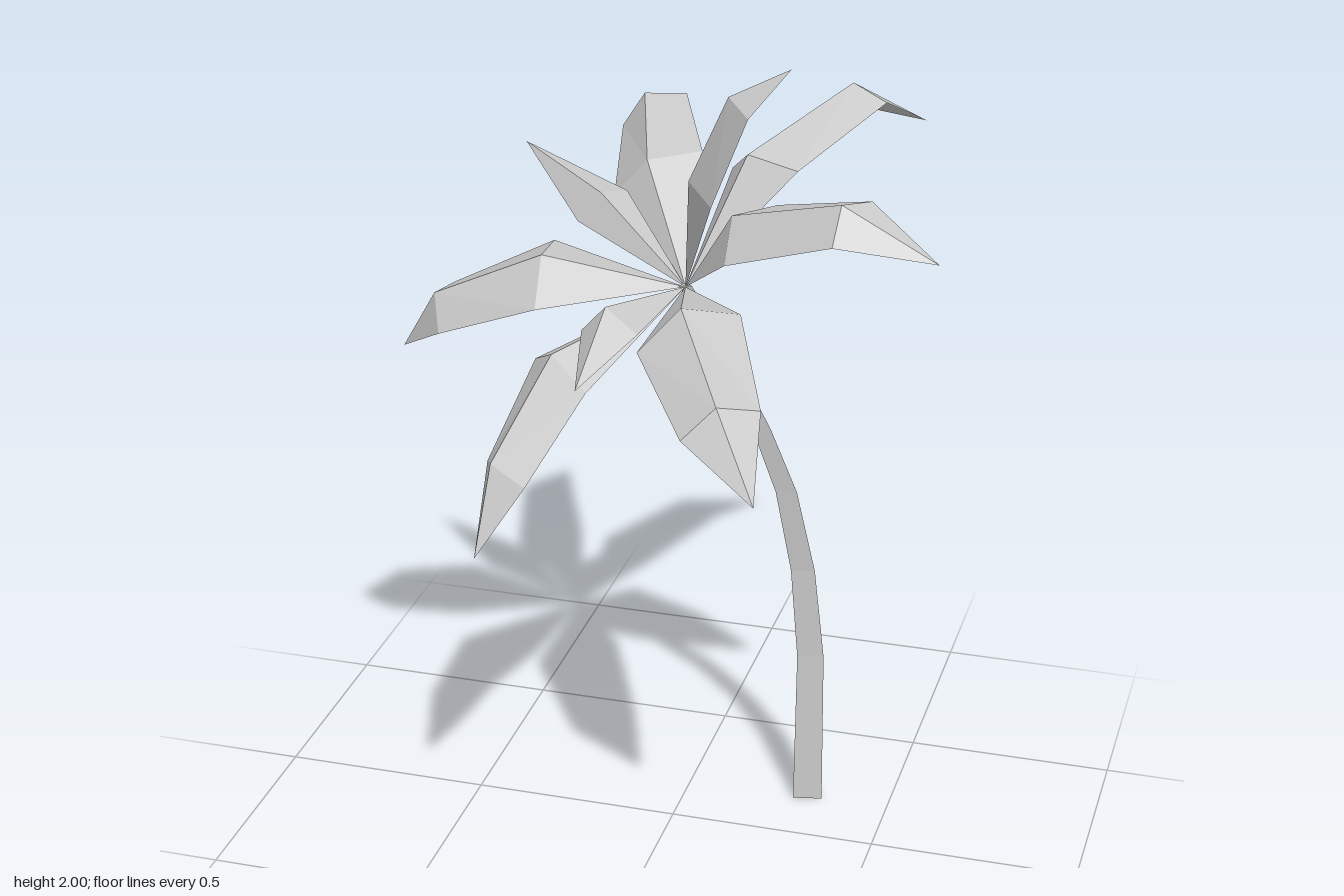
import * as THREE from 'three';

// Where the fronds meet the top of the trunk
const CROWN = new THREE.Vector3(0.035, 1.41, 0.02);
const FOLD = 0.06;   // height of the midrib above the edges
const TAPER = 0.75;  // outer section width relative to the inner one

// Bent path of the trunk from the ground up
const TRUNK_PATH = [
  [0.297, 0, -0.183], [0.297, 0.4, -0.183], [0.278, 0.64, -0.165], [0.242, 0.86, -0.13],
  [0.19, 1.03, -0.092], [0.125, 1.2, -0.05], [0.035, 1.415, 0.018],
];

// Three-sided trunk that narrows towards the crown
function trunkGeometry() {
  const n = TRUNK_PATH.length - 1;
  const geometry = new THREE.CylinderGeometry(1, 1, 1, 3, n, false, Math.PI + 0.21);
  const p = geometry.attributes.position;
  for (let i = 0; i < p.count; i++) {
    const row = Math.round((p.getY(i) + 0.5) * n);
    const [x, y, z] = TRUNK_PATH[row];
    const r = 0.041 - 0.004 * row;
    p.setXYZ(i, x + p.getX(i) * r, y, z + p.getZ(i) * r);
  }
  geometry.computeVertexNormals();
  return geometry;
}

// Thin folded blade: side is half its width, centres run outwards to the tip.
// The midrib is raised at right angles to the blade.
function frondGeometry(side, centres, tip) {
  const rows = [[CROWN, CROWN, CROWN]];
  let previous = CROWN;
  centres.forEach((point, i) => {
    const centre = new THREE.Vector3(...point);
    const half = new THREE.Vector3(...side).multiplyScalar(TAPER ** i);
    const rise = centre.clone().sub(previous).cross(half);
    rise.setLength(rise.y < 0 ? -FOLD : FOLD).multiplyScalar(0.85 ** i);
    rows.push([centre.clone().add(half), centre.clone().add(rise), centre.clone().sub(half)]);
    previous = centre;
  });
  const end = new THREE.Vector3(...tip);
  rows.push([end, end, end]);

  const points = [];
  const last = rows.length - 2;
  for (let i = 0; i <= last; i++) {
    for (let j = 0; j < 2; j++) {
      const [a, b] = [rows[i][j], rows[i][j + 1]];
      const [c, d] = [rows[i + 1][j], rows[i + 1][j + 1]];
      if (i > 0) points.push(a, b, c);
      if (i < last) points.push(b, d, c);
    }
  }
  const geometry = new THREE.BufferGeometry().setFromPoints(points);
  geometry.computeVertexNormals();
  return geometry;
}

export function createModel() {
  const model = new THREE.Group();
  model.name = 'palmTree';
  const crown = new THREE.Group();
  crown.name = 'crown';
  model.add(crown);

  const material = new THREE.MeshStandardMaterial({
    color: 0xcccccc, flatShading: true, side: THREE.DoubleSide,
  });
  const add = (parent, name, geometry) => {
    const mesh = new THREE.Mesh(geometry, material);
    mesh.name = name;
    parent.add(mesh);
  };
  const frond = (name, side, centres, tip) =>
    add(crown, name, frondGeometry(side, centres, tip));

  add(model, 'trunk', trunkGeometry());

  // Large fronds
  frond('backFrond', [-0.1, -0.055, 0.022],
    [[-0.1, 1.585, -0.227], [-0.19, 1.64, -0.511]], [-0.195, 1.55, -0.69]);
  frond('backLeftFrond', [-0.095, -0.03, -0.075],
    [[0.17, 1.64, -0.165], [0.337, 1.737, -0.412]], [0.46, 1.65, -0.577]);
  frond('leftFrond', [0.034, 0.037, -0.102],
    [[0.227, 1.612, 0.177], [0.477, 1.707, 0.302]], [0.67, 1.645, 0.325]);
  frond('frontLeftFrond', [0.1, 0.032, -0.06],
    [[0.125, 1.425, 0.315], [0.271, 1.345, 0.593]], [0.367, 1.21, 0.685]);
  frond('frontRightFrond', [-0.083, 0, -0.078],
    [[-0.177, 1.28, 0.292], [-0.255, 1.1, 0.45]], [-0.295, 0.94, 0.56]);
  frond('rightFrond', [-0.012, 0.042, -0.113],
    [[-0.297, 1.407, 0.028], [-0.55, 1.285, -0.005]], [-0.675, 1.16, -0.044]);
  frond('uprightFrond', [-0.017, 0.01, -0.096],
    [[0.127, 1.687, 0.112], [0.221, 1.905, 0.172]], [0.315, 2, 0.196]);

  // Small fronds with a single cross-section
  frond('smallFrontFrond', [-0.07, -0.01, -0.02], [[-0.06, 1.4, 0.3]], [-0.075, 1.345, 0.505]);
  frond('smallBackFrond', [0.046, 0.027, -0.043], [[-0.194, 1.542, -0.092]], [-0.413, 1.64, -0.205]);

  return model;
}
